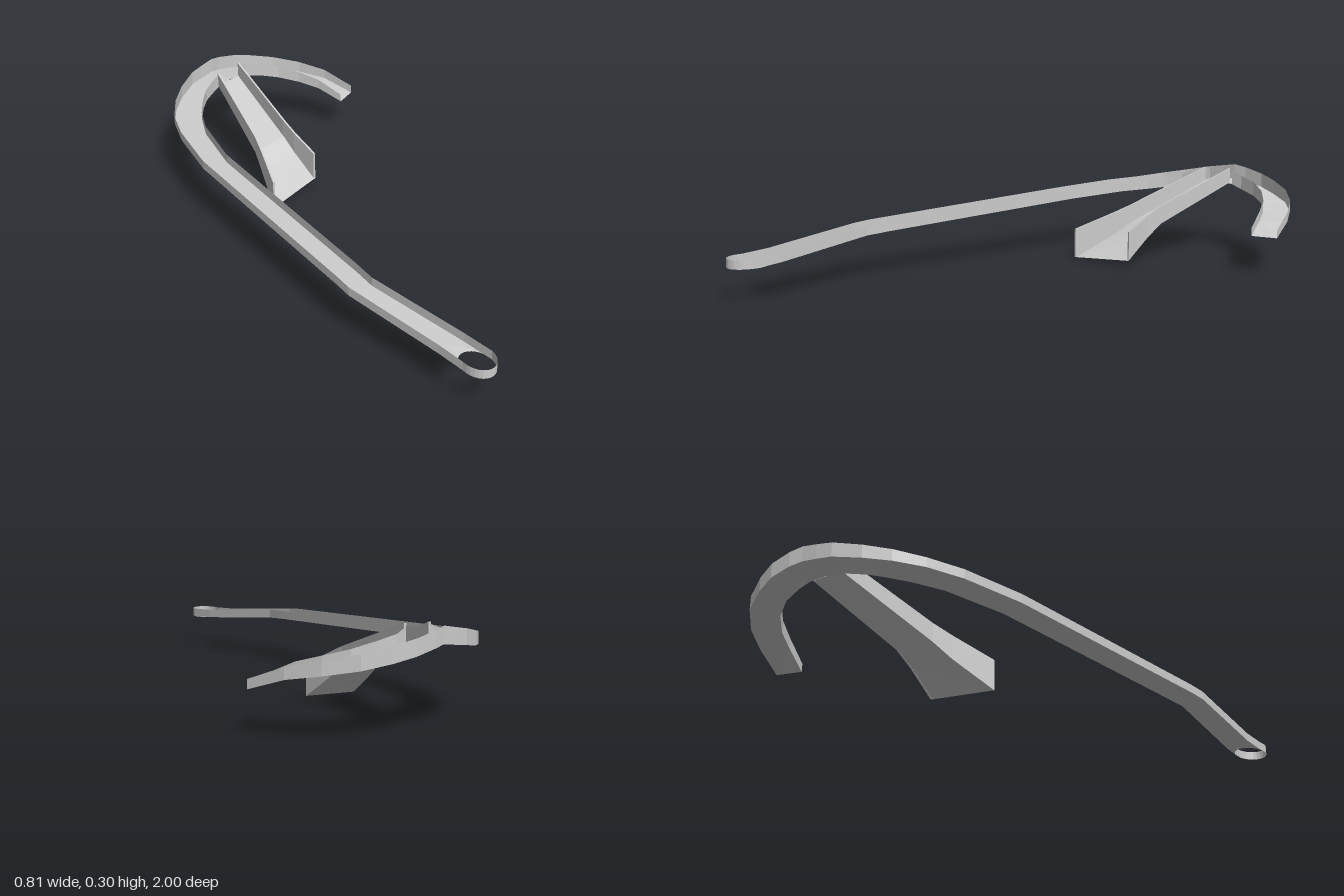
import * as THREE from 'three';

const material = new THREE.MeshStandardMaterial({ color: 0xcccccc, flatShading: true, side: THREE.DoubleSide });

// Surface between two rows of points of equal length
function strip(name, rowA, rowB, closed = false) {
  const positions = [], index = [];
  rowA.forEach((a, i) => positions.push(...a, ...rowB[i]));
  const n = rowA.length;
  for (let i = 0; i < (closed ? n : n - 1); i++) {
    const a = 2 * i, b = 2 * ((i + 1) % n);
    index.push(a, a + 1, b, b, a + 1, b + 1);
  }
  const geometry = new THREE.BufferGeometry();
  geometry.setAttribute('position', new THREE.Float32BufferAttribute(positions, 3));
  geometry.setIndex(index);
  geometry.computeVertexNormals();
  const mesh = new THREE.Mesh(geometry, material);
  mesh.name = name;
  return mesh;
}

// Upright wall standing on a row of [x, y, z, height] points
const wall = (name, row) =>
  strip(name, row.map(([x, y, z]) => [x, y, z]), row.map(([x, y, z, h]) => [x, y + h, z]));

// Upright wall with thickness: a closed loop of faces swept along the row
function thickWall(name, row, t) {
  const group = new THREE.Group();
  group.name = name;
  const rails = [[0, 0], [t, 0], [t, 1], [0, 1]].map(([dx, up]) =>
    row.map(([x, y, z, h]) => [x + dx, y + up * h, z]));
  rails.forEach((rail, i) => group.add(strip(name + 'Side', rail, rails[(i + 1) % 4])));
  for (const k of [0, row.length - 1]) {
    group.add(strip(name + 'End', [rails[0][k], rails[1][k]], [rails[3][k], rails[2][k]]));
  }
  return group;
}

// Curved channel: outer x, z, inner x, z, floor height, wall height
const channel = [
  [-0.22, 0.84, -0.125, 0.83, 0.12, 0.03],
  [-0.322, 0.50, -0.235, 0.49, 0.152, 0.03],
  [-0.328, 0.44, -0.241, 0.41, 0.157, 0.03],
  [-0.405, -0.37, -0.315, -0.37, 0.19, 0.031],
  [-0.395, -0.58, -0.30, -0.58, 0.202, 0.032],
  [-0.37, -0.70, -0.27, -0.68, 0.208, 0.033],
  [-0.325, -0.79, -0.235, -0.745, 0.216, 0.039],
  [-0.27, -0.86, -0.20, -0.79, 0.225, 0.044],
  [-0.20, -0.92, -0.15, -0.825, 0.238, 0.048],
  [-0.15, -0.942, -0.125, -0.838, 0.245, 0.05],
  [-0.10, -0.96, -0.07, -0.86, 0.252, 0.052],
  [-0.06, -0.98, -0.022, -0.885, 0.245, 0.051],
  [0.01, -1.0, 0.015, -0.90, 0.23, 0.05],
  [0.08, -0.998, 0.08, -0.905, 0.215, 0.05],
  [0.17, -0.98, 0.15, -0.885, 0.198, 0.046],
  [0.26, -0.925, 0.215, -0.84, 0.182, 0.042],
  [0.335, -0.85, 0.27, -0.78, 0.166, 0.036],
  [0.40, -0.75, 0.325, -0.70, 0.129, 0.029],
];

function curvedChannel() {
  const group = new THREE.Group();
  group.name = 'curvedChannel';
  const outer = channel.map(([x, z, , , y, h]) => [x, y, z, h]);
  const inner = channel.map(([, , x, z, y, h]) => [x, y, z, h]);
  const flat = (row) => row.map(([x, y, z]) => [x, y, z]);
  group.add(strip('channelFloor', flat(outer), flat(inner)));

  // Oval hole at the low end: floor cut by its back arc, wall round its front arc
  const steps = 14, y = 0.115;
  const arc = (sign) => Array.from({ length: steps + 1 }, (_, i) => {
    const a = Math.PI * i / steps;
    return [-0.15 - 0.05 * Math.cos(a), y, 0.933 + sign * 0.067 * Math.sin(a), 0.03];
  });
  const cross = Array.from({ length: steps + 1 }, (_, i) =>
    [0, 1, 2].map((k) => THREE.MathUtils.lerp(outer[0][k], inner[0][k], i / steps)));
  group.add(strip('holeFloor', cross, flat(arc(-1))));

  // Walls; the inner one is open where the chute joins
  const rim = arc(1);
  group.add(wall('endWall', rim));
  group.add(wall('outerWall', [rim[0], ...outer]));
  group.add(wall('innerWallLong', [rim[steps], ...inner.slice(0, 10)]));
  group.add(wall('innerWallShort', inner.slice(11)));
  return group;
}

function chute() {
  const group = new THREE.Group();
  group.name = 'chute';
  const right = [
    [-0.13, 0.25, -0.84, 0.05], [-0.14, 0.117, -0.51, 0.065],
    [-0.15, 0.075, -0.44, 0.082], [-0.177, 0.002, -0.295, 0.105],
  ];
  const left = [
    [-0.022, 0.252, -0.875, 0.053], [0.002, 0.132, -0.55, 0.066],
    [0.013, 0.09, -0.485, 0.08], [0.04, 0.02, -0.385, 0.104],
  ];
  const flat = (row) => row.map(([x, y, z]) => [x, y, z]);
  group.add(strip('chuteFloor', flat(right), flat(left)));
  group.add(thickWall('chuteRightWall', right, 0.007));
  group.add(thickWall('chuteLeftWall', left, -0.007));
  return group;
}

export function createModel() {
  const model = new THREE.Group();
  model.name = 'slideTrack';
  model.add(curvedChannel(), chute());
  return model;
}
